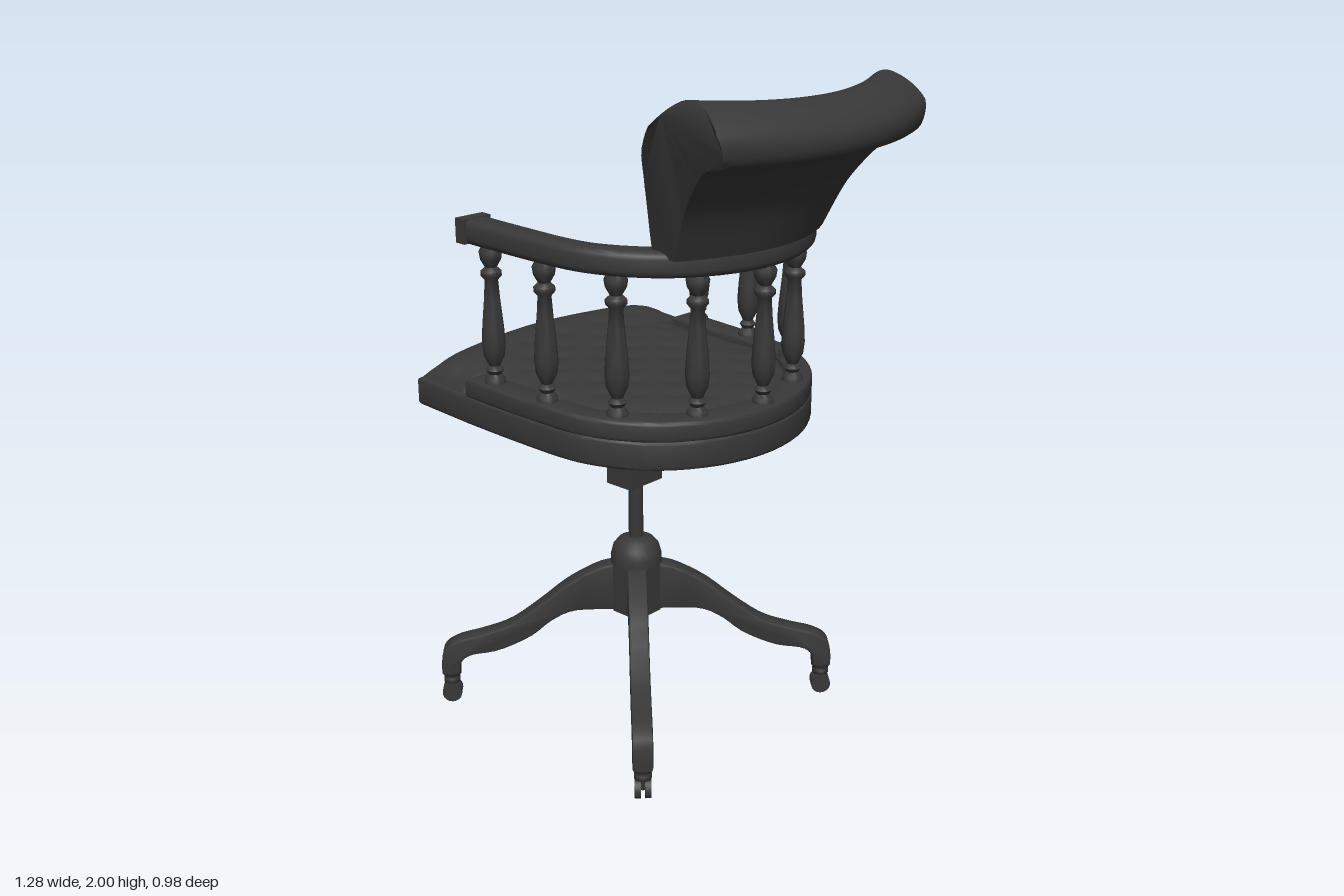
import * as THREE from 'three';
import { toCreasedNormals } from 'three/addons/utils/BufferGeometryUtils.js';

const V = (x, y) => new THREE.Vector2(x, y);
const pts = (list) => list.map(([x, y]) => V(x, y));
const material = new THREE.MeshStandardMaterial({ color: 0x383838, side: THREE.DoubleSide });
const flat = new THREE.MeshStandardMaterial({ color: 0x383838, flatShading: true });

// The whole upper part of the chair leans back a little
const TILT = new THREE.Matrix4().set(1, 0, 0, 0, -0.045, 1, 0, 0, 0, 0, 1, 0, 0, 0, 0, 1);
const BASE_X = -0.15;

function add(parent, name, geometry, x = 0, y = 0, z = 0, mat = material) {
  const mesh = new THREE.Mesh(geometry, mat);
  mesh.name = name;
  mesh.position.set(x, y, z);
  parent.add(mesh);
  return mesh;
}

// Moves every vertex by a rule
function warp(geometry, rule) {
  const p = geometry.attributes.position;
  const v = new THREE.Vector3();
  for (let i = 0; i < p.count; i++) {
    rule(v.fromBufferAttribute(p, i));
    p.setXYZ(i, v.x, v.y, v.z);
  }
  return geometry;
}

// Linear interpolation through [position, value] pairs
function ramp(table, t) {
  for (let i = 1; i < table.length; i++) {
    const [a, fa] = table[i - 1], [b, fb] = table[i];
    if (t <= b) return fa + (fb - fa) * Math.max(0, (t - a) / (b - a));
  }
  return table[table.length - 1][1];
}

// Horseshoe outline: half of it is given, the other half is mirrored
function horseshoe(half) {
  const all = [...half, ...half.slice(0, -1).reverse().map(([x, z]) => [x, -z])];
  return new THREE.SplineCurve(pts(all)).getPoints(48);
}
const OUTER = horseshoe([[-0.36, 0.485], [-0.18, 0.48], [0, 0.468], [0.1, 0.445], [0.2, 0.39], [0.29, 0.3], [0.36, 0.16], [0.385, 0]]);
const INNER = horseshoe([[-0.36, 0.4], [-0.18, 0.397], [0, 0.388], [0.1, 0.355], [0.2, 0.275], [0.265, 0.17], [0.3, 0]]);

// Horizontal plate from an outline, with a small rounded edge
function plate(outline, y0, y1, bevel) {
  const g = new THREE.ExtrudeGeometry(new THREE.Shape(outline), {
    depth: y1 - y0 - 2 * bevel, bevelThickness: bevel, bevelSize: bevel, bevelOffset: -bevel, bevelSegments: 3,
  });
  g.rotateX(-Math.PI / 2).translate(0, y0 + bevel, 0).applyMatrix4(TILT);
  return toCreasedNormals(g, 0.7);
}

function buildSeat(root) {
  const seat = new THREE.Group();
  seat.name = 'seat';
  root.add(seat);
  const bow = (v) => 0.058 * Math.cos(v * Math.PI / 2) ** 2;

  // Frame slab with bowed front edge, and the raised rim around the back
  const front = [];
  for (let i = 0; i <= 16; i++) {
    const v = -1 + i / 8;
    front.push(V(-0.58 - bow(v), v * 0.482));
  }
  add(seat, 'seatFrame', plate([...OUTER, ...front], 0.99, 1.075, 0.01));
  const band = [...OUTER, ...[...INNER].reverse()];
  add(seat, 'seatRim', plate(band, 1.07, 1.13, 0.012));

  // Tufted cushion with a raised front roll
  const crown = [[-0.58, 1.06], [-0.565, 1.105], [-0.53, 1.14], [-0.48, 1.15], [-0.42, 1.143], [-0.34, 1.135], [0, 1.14], [0.25, 1.135], [0.31, 1.1]];
  const cushion = new THREE.PlaneGeometry(1, 1, 56, 48).rotateX(-Math.PI / 2);
  warp(cushion, (p) => {
    const s = p.x + 0.5, v = p.z * 2;
    const x = -0.58 + 0.89 * s;
    let half = ramp([[-0.37, 0.478], [-0.35, 0.41]], x);
    if (x > 0) half *= Math.sqrt(Math.max(0, 1 - (x / 0.31) ** 2));
    p.x = x - bow(v) * (1 - s) ** 2;
    p.z = v * half;
    const inside = Math.sqrt(Math.max(0, 1 - Math.abs(v) ** 7));
    const dimple = Math.abs(Math.cos(p.x * 21 + p.z * 21) * Math.cos(p.x * 21 - p.z * 21)) ** 4;
    p.y = 1.065 + (ramp(crown, x) - 1.065) * inside - (x > -0.45 ? 0.008 * dimple * inside : 0);
  });
  cushion.applyMatrix4(TILT).computeVertexNormals();
  add(seat, 'seatCushion', cushion);

  // Tapered support under the seat
  const profile = pts([[0, 0.845], [0.24, 0.845], [0.5, 0.89], [0.92, 0.95], [1, 0.965], [1, 1.0]]);
  const pan = new THREE.LatheGeometry(profile, 8).rotateY(Math.PI / 8);
  pan.scale(0.41, 1, 0.285).translate(-0.14, 0, 0).applyMatrix4(TILT);
  add(seat, 'seatSupport', pan, 0, 0, 0, flat);

  // Arm rail with blocks at its ends
  add(seat, 'armRail', plate(band, 1.525, 1.597, 0.02));
  // Turned spindles
  const turned = pts([[0, 0], [0.03, 0], [0.03, 0.015], [0.018, 0.03], [0.026, 0.042], [0.016, 0.055], [0.03, 0.085], [0.034, 0.12], [0.031, 0.17],
    [0.023, 0.25], [0.019, 0.305], [0.03, 0.318], [0.03, 0.33], [0.017, 0.342], [0.03, 0.365], [0.033, 0.385], [0.02, 0.41]]);
  const spindle = toCreasedNormals(new THREE.LatheGeometry(turned, 14).toNonIndexed(), 0.9);
  for (const side of [1, -1]) {
    const block = new THREE.BoxGeometry(0.035, 0.07, 0.1).translate(-0.345, 1.563, side * 0.442).applyMatrix4(TILT);
    add(seat, 'armEnd', block);
    for (const [x, z] of [[-0.28, 0.44], [-0.07, 0.435], [0.14, 0.373], [0.285, 0.21], [0.345, 0]]) {
      if (z || side > 0) add(seat, 'spindle', spindle, x, 1.125 - 0.045 * x, side * z);
    }
  }
}

// Padded backrest: a rolled-over side profile swept across and bowed
function buildBackrest(root) {
  const line = new THREE.SplineCurve(pts([[0.22, 1.565], [0.235, 1.7], [0.275, 1.85], [0.335, 1.945], [0.42, 2.0], [0.5, 1.975],
    [0.548, 1.915], [0.54, 1.85], [0.485, 1.835], [0.425, 1.785], [0.355, 1.69], [0.3, 1.565]])).getPoints(55);
  const g = new THREE.ExtrudeGeometry(new THREE.Shape(line), { depth: 2, steps: 40, bevelEnabled: false });
  const width = [[1.565, 0.315], [1.7, 0.35], [1.8, 0.39], [1.86, 0.42], [1.93, 0.44], [2, 0.41]];
  warp(g, (p) => {
    const u = p.z - 1, y = p.y;
    const padded = p.x < 0.2 + (y - 1.5) * 0.36 && y < 1.93 && y > 1.6;
    const z = u * ramp(width, y);
    const dimple = padded ? Math.abs(Math.cos(z * 16 + y * 16) * Math.cos(z * 16 - y * 16)) ** 4 : 0;
    p.x += 0.09 * (1 - u * u) + 0.01 * dimple * (1 - u ** 4);
    p.y -= 0.02 * (1 - u * u) * THREE.MathUtils.smoothstep(y, 1.8, 2);
    p.z = z;
  });
  add(root, 'backrest', toCreasedNormals(g, 0.7));
}

function buildBase(root) {
  const base = new THREE.Group();
  base.name = 'base';
  base.position.x = BASE_X;
  root.add(base);

  // Swivel column, housing and height screw
  add(base, 'column', new THREE.CylinderGeometry(0.023, 0.023, 0.28, 20), 0, 0.66, 0);
  add(base, 'columnHousing', new THREE.BoxGeometry(0.1, 0.11, 0.14), 0, 0.8, 0.005);
  add(base, 'screw', new THREE.CylinderGeometry(0.012, 0.012, 0.13, 12).rotateZ(Math.PI / 2), -0.1, 0.79, 0);
  add(base, 'screwCollar', new THREE.CylinderGeometry(0.018, 0.018, 0.03, 12).rotateZ(Math.PI / 2), -0.065, 0.79, 0);
  add(base, 'screwHandle', new THREE.CapsuleGeometry(0.009, 0.06, 4, 10), -0.165, 0.79, 0);

  // Hub with a domed cap
  add(base, 'hub', new THREE.CylinderGeometry(0.08, 0.08, 0.17, 8).rotateY(Math.PI / 8), 0, 0.4, 0, flat);
  const dome = pts([[0.08, 0.475], [0.08, 0.5], [0.072, 0.53], [0.055, 0.55], [0.03, 0.56], [0, 0.56]]);
  add(base, 'hubCap', new THREE.LatheGeometry(dome, 24));

  // Curved legs with casters
  const top = new THREE.SplineCurve(pts([[0.06, 0.475], [0.12, 0.462], [0.216, 0.41], [0.31, 0.335], [0.4, 0.272], [0.49, 0.24], [0.565, 0.22], [0.61, 0.19], [0.622, 0.14], [0.622, 0.1]]));
  const under = new THREE.SplineCurve(pts([[0.565, 0.1], [0.56, 0.14], [0.525, 0.165], [0.44, 0.18], [0.34, 0.225], [0.27, 0.28], [0.2, 0.313], [0.1, 0.317]]));
  const outline = [V(0, 0.475), ...top.getPoints(30), ...under.getPoints(24), V(0, 0.317)];
  const legShape = new THREE.ExtrudeGeometry(new THREE.Shape(outline), {
    depth: 0.044, bevelThickness: 0.008, bevelSize: 0.008, bevelOffset: -0.008, bevelSegments: 2,
  }).translate(0, 0, -0.022);
  const legGeometry = toCreasedNormals(legShape, 0.6);
  const stem = new THREE.LatheGeometry(pts([[0.014, 0.03], [0.014, 0.06], [0.026, 0.065], [0.026, 0.08], [0.018, 0.085], [0.03, 0.092], [0.03, 0.105]]), 14);
  const wheel = new THREE.CylinderGeometry(0.031, 0.031, 0.018, 18).rotateX(Math.PI / 2);
  for (let i = 0; i < 4; i++) {
    const leg = new THREE.Group();
    leg.name = 'leg';
    leg.rotation.y = Math.PI / 4 + i * Math.PI / 2;
    base.add(leg);
    add(leg, 'legBeam', legGeometry);
    add(leg, 'casterStem', stem, 0.594, 0, 0);
    for (const z of [-0.015, 0.015]) add(leg, 'casterWheel', wheel, 0.594, 0.031, z);
  }
}

export function createModel() {
  const root = new THREE.Group();
  root.name = 'swivelChair';
  buildBase(root);
  buildSeat(root);
  buildBackrest(root);
  return root;
}
